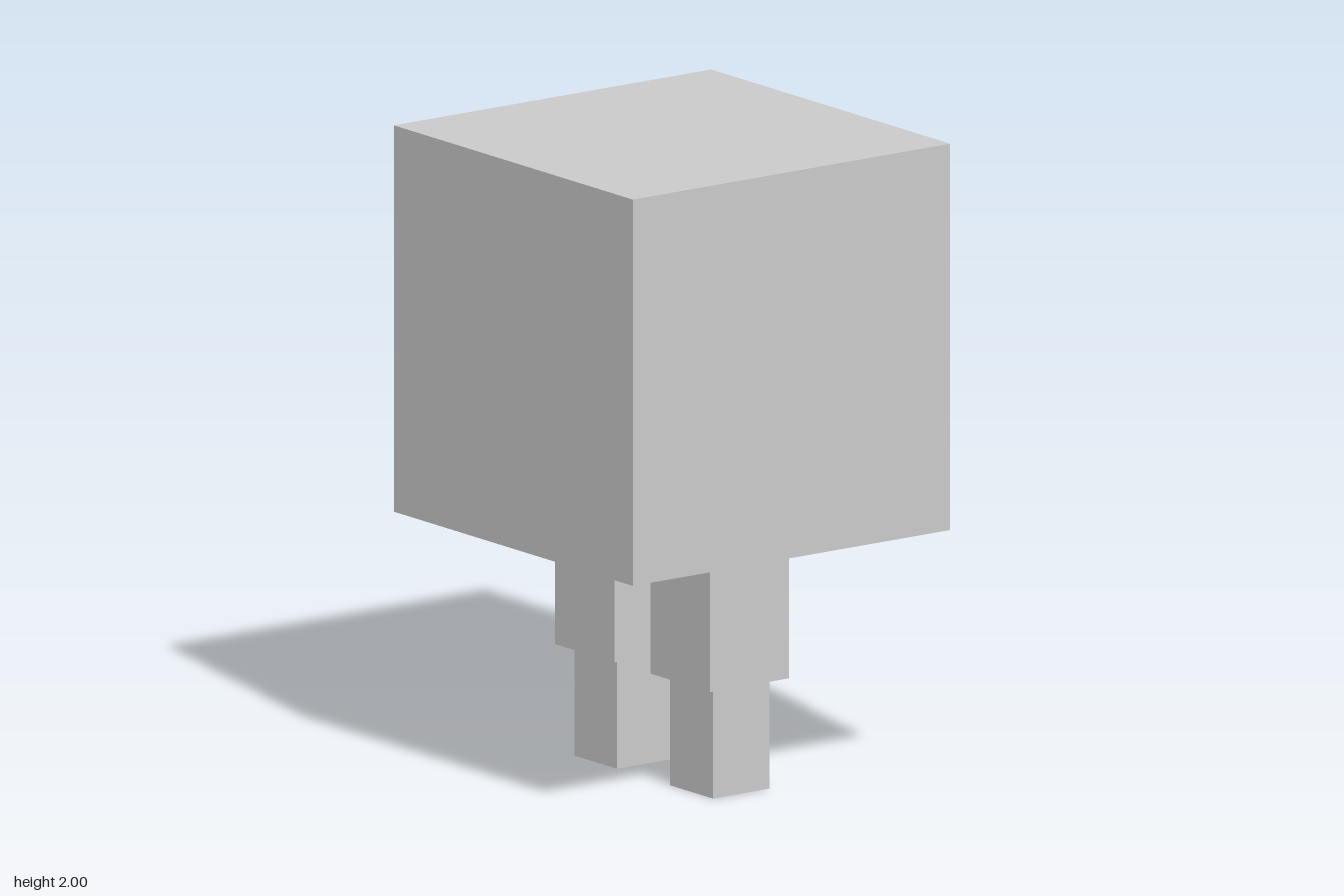
import * as THREE from 'three';

const material = new THREE.MeshStandardMaterial({ color: 0xcccccc, flatShading: true });

// Square-section block standing between two heights
function block(name, width, bottom, top) {
  const mesh = new THREE.Mesh(new THREE.BoxGeometry(width, top - bottom, width), material);
  mesh.name = name;
  mesh.position.y = (bottom + top) / 2;
  return mesh;
}

export function createModel() {
  const model = new THREE.Group();
  model.name = 'blockFigure';

  // Cube body
  model.add(block('body', 1.212, 0.788, 2));

  // Mirrored two-step legs
  for (const [name, side] of [['leftLeg', 1], ['rightLeg', -1]]) {
    const leg = new THREE.Group();
    leg.name = name;
    leg.position.x = side * 0.243;
    leg.add(block('upperLeg', 0.302, 0.348, 0.788), block('lowerLeg', 0.217, 0, 0.348));
    model.add(leg);
  }

  return model;
}
